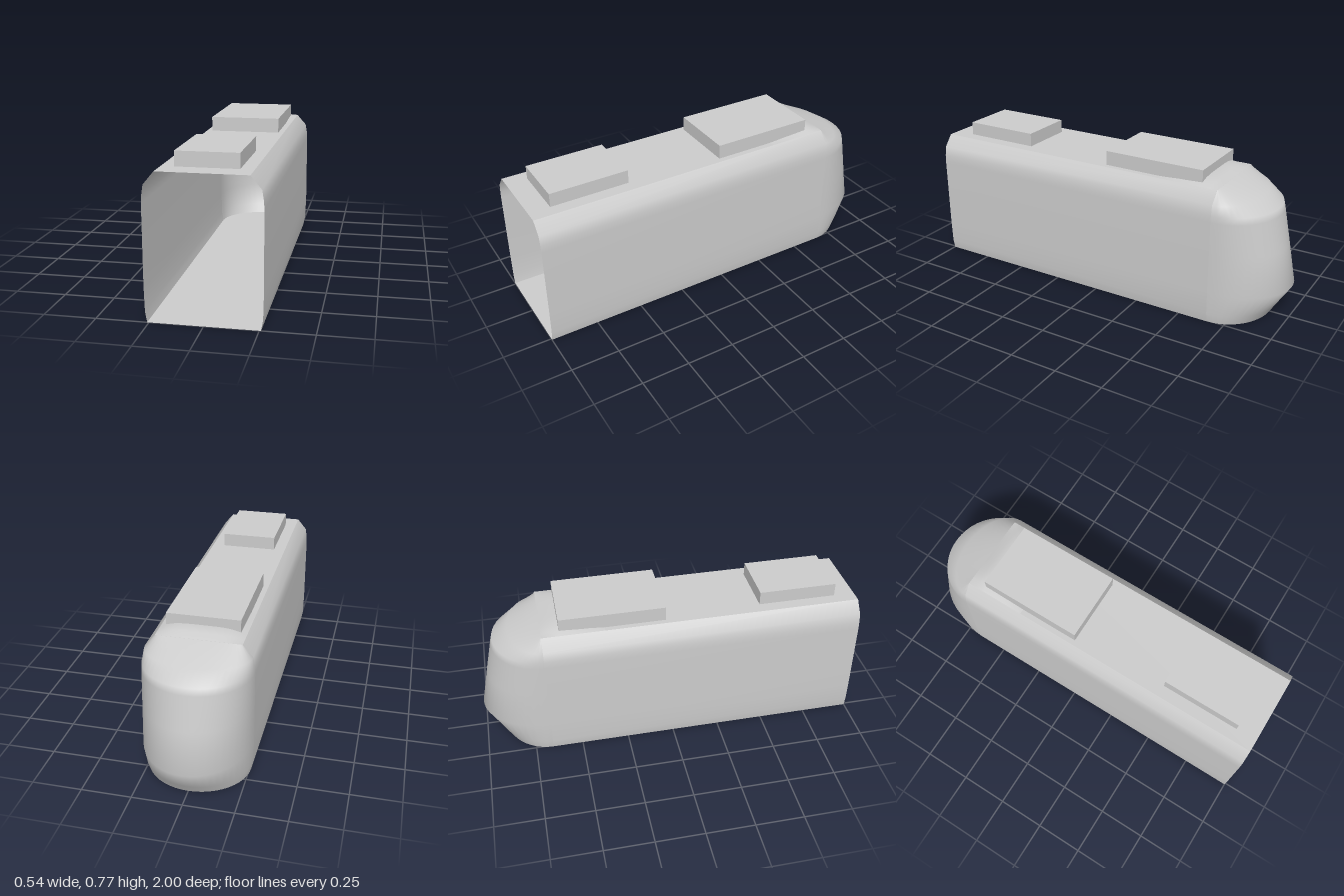
import * as THREE from 'three';

const ROOF = 0.695, ROOF_W = 0.21, NOSE_Z = -0.66;

// Body half-section with the matching depth of the rounded nose: [y, half width, nose depth]
const section = [
  [0, 0.258, 0.235], [0.05, 0.267, 0.265], [0.17, 0.27, 0.34], [0.38, 0.27, 0.295],
  [0.55, 0.27, 0.257], [0.585, 0.268, 0.248], [0.635, 0.26, 0.165], [ROOF, ROOF_W, 0],
];

// Smooth surface from rows x cols points given by at(i, j)
function surface(rows, cols, at) {
  const pos = [], idx = [];
  for (let i = 0; i < rows; i++) {
    for (let j = 0; j < cols; j++) {
      pos.push(...at(i, j));
      if (i < rows - 1 && j < cols - 1) {
        const a = i * cols + j, b = a + 1, d = a + cols, c = d + 1;
        idx.push(a, b, c, a, c, d);
      }
    }
  }
  const g = new THREE.BufferGeometry();
  g.setAttribute('position', new THREE.Float32BufferAttribute(pos, 3));
  g.setIndex(idx);
  g.computeVertexNormals();
  return g;
}

export function createModel() {
  const model = new THREE.Group();
  model.name = 'railCar';
  const grey = new THREE.MeshStandardMaterial({ color: 0xcccccc, side: THREE.DoubleSide });
  grey.name = 'plain grey';
  const add = (name, geometry) => {
    const mesh = new THREE.Mesh(geometry, grey);
    mesh.name = name;
    model.add(mesh);
    return mesh;
  };

  // Side walls, curving in at the roof and the sill; the front end stays open
  for (const s of [1, -1]) {
    const ends = s > 0 ? [1, NOSE_Z] : [NOSE_Z, 1];
    add(s > 0 ? 'leftWall' : 'rightWall', surface(section.length, 2,
      (i, j) => [s * section[i][1], section[i][0], ends[j]]));
  }

  // Flat roof
  add('roof', surface(2, 2, (i, j) => [(j ? 1 : -1) * ROOF_W, ROOF, i ? NOSE_Z : 1]));

  // Floor with a rounded end under the nose
  const [, floorW, floorD] = section[0], steps = 12;
  add('floor', surface(steps + 2, 2, (i, j) => {
    const t = Math.max(0, i - 1) / steps * Math.PI / 2;
    return [(j ? -1 : 1) * floorW * Math.cos(t), 0, i ? NOSE_Z - floorD * Math.sin(t) : 1];
  }));

  // Rounded nose, open to the inside of the body
  add('nose', surface(section.length, 25, (i, j) => {
    const [y, w, d] = section[i], t = j / 24 * Math.PI;
    return [w * Math.cos(t), y, NOSE_Z - d * Math.sin(t)];
  }));

  // Low hump where the nose runs over the roof
  const hump = [[-0.34, 0.002], [-0.45, 0.017], [-0.57, 0.03], [-0.62, 0.017], [NOSE_Z, 0.001]];
  add('roofHump', surface(hump.length, 13, (i, j) => {
    const u = j / 6 - 1;
    return [u * ROOF_W, ROOF + hump[i][1] * (1 - u ** 4), hump[i][0]];
  }));

  // Roof boxes
  for (const [name, w, h, d, z] of [
    ['frontRoofBox', 0.294, 0.071, 0.41, 0.685],
    ['rearRoofBox', 0.363, 0.075, 0.545, -0.297],
  ]) add(name, new THREE.BoxGeometry(w, h, d)).position.set(-0.001, ROOF + h / 2, z);

  return model;
}
